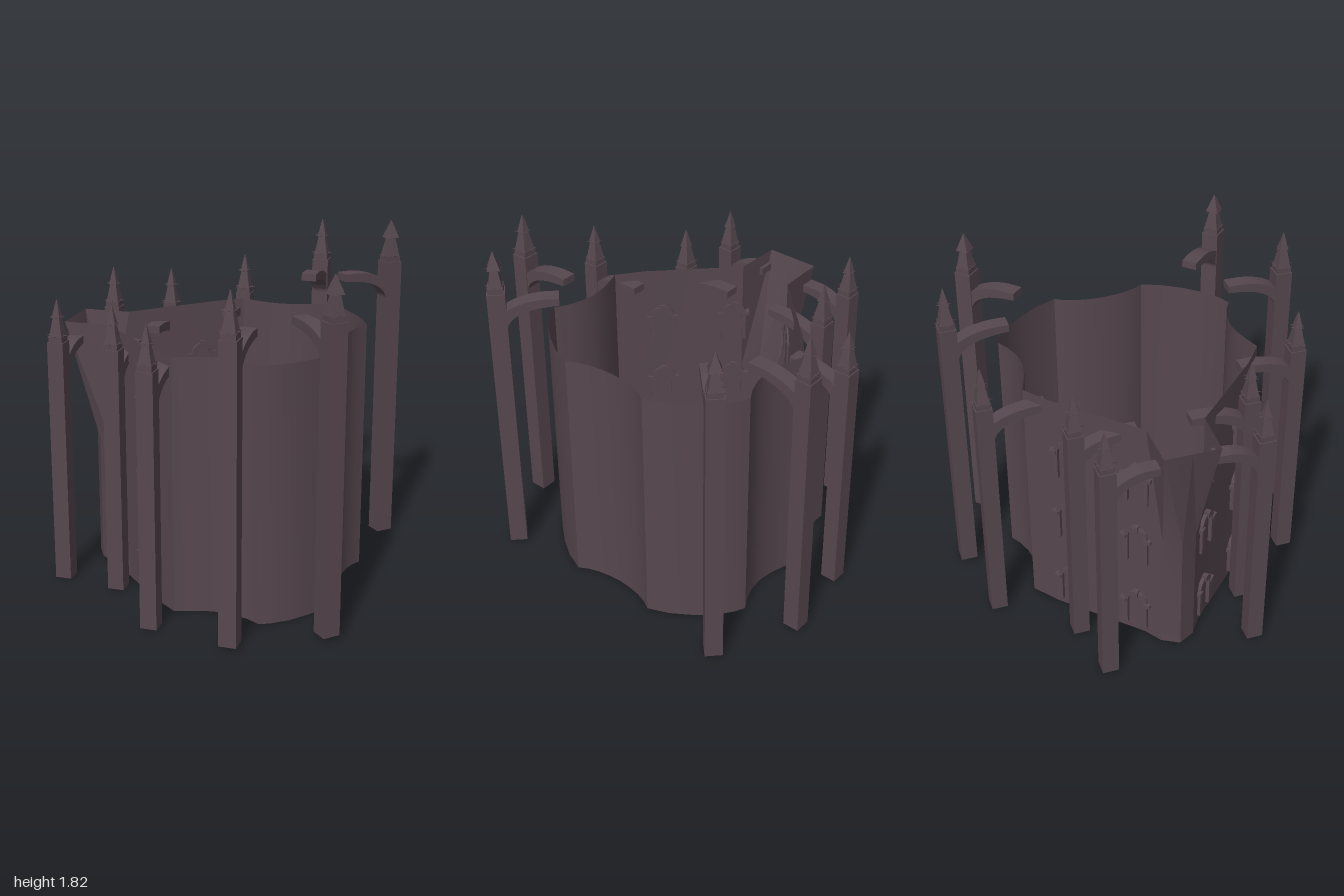
import * as THREE from 'three';
import { toCreasedNormals } from 'three/addons/utils/BufferGeometryUtils.js';

const stone = new THREE.MeshStandardMaterial({ color: 0x56474f, side: THREE.DoubleSide });
stone.name = 'dark stone';

function add(parent, geometry, name, x = 0, y = 0, z = 0) {
  const mesh = new THREE.Mesh(geometry, stone);
  mesh.name = name;
  mesh.position.set(x, y, z);
  parent.add(mesh);
  return mesh;
}

const WALL_TOP = 1.35;
const FLARE_START = 0.7;

// Half plan of the wall as [x, z], from the right-hand bay round to the corner
const halfPlan = [
  [0.665, 0], [0.67, 0.07], [0.682, 0.14], [0.702, 0.2], [0.73, 0.25],
  [0.685, 0.36], [0.62, 0.46], [0.54, 0.555], [0.455, 0.62], [0.4, 0.645],
  [0.34, 0.61], [0.26, 0.582], [0.18, 0.572], [0.1, 0.582], [0.02, 0.605], [-0.05, 0.63],
  [-0.18, 0.53], [-0.56, 0.15], [-0.65, 0.09], [-0.7, 0],
];

// Open sheet wall; its narrow corner flares into a square spout at the top
function wallGeometry() {
  const mirrored = halfPlan.slice(1, -1).reverse().map(([x, z]) => [x, -z]);
  const plan = [...halfPlan, ...mirrored, halfPlan[0]];
  const flared = ([x, z]) => {
    if (x > -0.6) return [x, z];
    if (z === 0) return [-0.81, 0];
    return [-0.81, Math.sign(z) * 0.145];
  };
  const pos = [];
  const quad = (a, b, ya, a2, b2, yb) => {
    const p = [[a[0], ya, a[1]], [b[0], ya, b[1]], [b2[0], yb, b2[1]], [a2[0], yb, a2[1]]];
    for (const i of [0, 1, 2, 0, 2, 3]) pos.push(...p[i]);
  };
  for (let i = 0; i < plan.length - 1; i++) {
    const a = plan[i], b = plan[i + 1];
    quad(a, b, 0, a, b, FLARE_START);
    quad(a, b, FLARE_START, flared(a), flared(b), WALL_TOP);
  }
  const geo = new THREE.BufferGeometry();
  geo.setAttribute('position', new THREE.Float32BufferAttribute(pos, 3));
  geo.computeVertexNormals();
  return toCreasedNormals(geo, 0.42);
}

// Quarter-arch flying arm: x runs from the pier towards the wall
function armGeometry(length, top, start, width) {
  const s = new THREE.Shape();
  s.moveTo(start, top - 0.17);
  s.quadraticCurveTo(start + 0.02, top - 0.05, length, top - 0.04);
  s.lineTo(length, top);
  s.lineTo(length - 0.08, top);
  s.quadraticCurveTo(start + 0.07, top - 0.01, start, top - 0.06);
  s.closePath();
  const geo = new THREE.ExtrudeGeometry(s, { depth: width, bevelEnabled: false, curveSegments: 8 });
  return geo.translate(0, 0, -width / 2);
}

// Square tapered block, flat sides along x and z
function taper(topHalf, bottomHalf, height) {
  const k = Math.SQRT2;
  const geo = new THREE.CylinderGeometry(topHalf * k, bottomHalf * k, height, 4, 1).toNonIndexed();
  geo.rotateY(Math.PI / 4).translate(0, height / 2, 0);
  geo.computeVertexNormals();
  return geo;
}

// Ring of small horizontal spikes
function spikeRing(parent, y, reach, count, thick) {
  for (let i = 0; i < count; i++) {
    const geo = new THREE.ConeGeometry(thick, reach, 4);
    geo.rotateZ(-Math.PI / 2).translate(reach / 2, 0, 0);
    add(parent, geo, 'spike', 0, y).rotation.y = (i / count) * Math.PI * 2;
  }
}

// Pinnacle of height h on a pier of half width w
function pinnacle(w, h, heavy) {
  const g = new THREE.Group();
  g.name = 'pinnacle';
  add(g, taper(w * 0.86, w * 0.86, h * 0.14), 'pinnacleBase');
  add(g, taper(w * 0.36, w * 0.8, h * 0.5), 'lowerSpire', 0, h * 0.12);
  spikeRing(g, h * 0.15, w * (heavy ? 1.2 : 1.45), 8, 0.011);
  spikeRing(g, h * 0.59, w * 0.95, 8, 0.011);
  add(g, taper(0.002, w * (heavy ? 0.72 : 0.5), h * 0.42), 'upperSpire', 0, h * 0.58);
  return g;
}

function buttress({ x, z, dir, half, bottom, top, tip, arm, armTop, heavy }) {
  const g = new THREE.Group();
  g.name = 'buttress';
  g.position.set(x, 0, z);
  g.rotation.y = Math.atan2(-dir[1], dir[0]);
  const h = top - bottom;
  add(g, new THREE.BoxGeometry(half * 2, h, half * 2), 'pier', 0, bottom + h / 2);
  add(g, armGeometry(arm, armTop, half - 0.005, half * 1.8), 'flyingArm');
  const p = pinnacle(half, tip - top, heavy);
  p.position.y = top;
  g.add(p);
  return g;
}

// Window surround: arch band, imposts and keystone, facing local +z
function windowFrame() {
  const g = new THREE.Group();
  g.name = 'windowFrame';
  const spring = 0.165, ro = 0.068, ri = 0.045;
  const s = new THREE.Shape();
  s.moveTo(-ro, 0);
  s.lineTo(-ri, 0);
  s.lineTo(-ri, spring);
  s.absarc(0, spring, ri, Math.PI, 0, true);
  s.lineTo(ri, 0);
  s.lineTo(ro, 0);
  s.lineTo(ro, spring);
  s.absarc(0, spring, ro, 0, Math.PI, false);
  s.closePath();
  const band = new THREE.ExtrudeGeometry(s, { depth: 0.03, bevelEnabled: false, curveSegments: 5 });
  add(g, band, 'archBand', 0, 0, -0.01);
  for (const side of [-1, 1]) {
    add(g, new THREE.BoxGeometry(0.036, 0.02, 0.042), 'impost', side * 0.07, spring, 0.008);
  }
  add(g, new THREE.BoxGeometry(0.03, 0.035, 0.042), 'keystone', 0, spring + 0.06, 0.008);
  return g;
}

export function createModel() {
  const model = new THREE.Group();
  model.name = 'lobedTower';
  add(model, wallGeometry(), 'wall');

  // Five buttresses on each side; zs holds the front and back positions
  const d = Math.SQRT1_2;
  const kinds = [
    { x: 0.757, zs: [0.68, -0.715], dir: [-d, -d], half: 0.046, bottom: 0.02, top: 1.6, tip: 1.82, arm: 0.31, armTop: 1.56, heavy: true },
    { x: 0.33, zs: [0.912, -0.92], dir: [0, -1], half: 0.045, bottom: 0.015, top: 1.545, tip: 1.77, arm: 0.315, armTop: 1.52 },
    { x: -0.105, zs: [0.825, -0.848], dir: [0, -1], half: 0.043, bottom: 0.005, top: 1.335, tip: 1.555, arm: 0.317, armTop: 1.3 },
    { x: -0.425, zs: [0.442, -0.475], dir: [0, -1], half: 0.043, bottom: 0.005, top: 1.31, tip: 1.53, arm: 0.322, armTop: 1.28 },
    { x: -0.745, zs: [0.39, -0.412], dir: [0, -1], half: 0.043, bottom: 0.005, top: 1.31, tip: 1.53, arm: 0.262, armTop: 1.28 },
  ];
  for (const k of kinds) {
    k.zs.forEach((z, i) => {
      const dir = [k.dir[0], i === 0 ? k.dir[1] : -k.dir[1]];
      model.add(buttress({ ...k, z, dir }));
    });
  }

  // Three rows of windows in the two slanted bays on each side
  for (const side of [1, -1]) {
    for (const [x, z] of [[-0.245, 0.465], [-0.525, 0.185]]) {
      for (const y of [0.045, 0.49, 0.89]) {
        const frame = windowFrame();
        frame.position.set(x, y, z * side);
        frame.rotation.y = side > 0 ? -Math.PI / 4 : -Math.PI * 0.75;
        model.add(frame);
      }
    }
  }
  return model;
}
